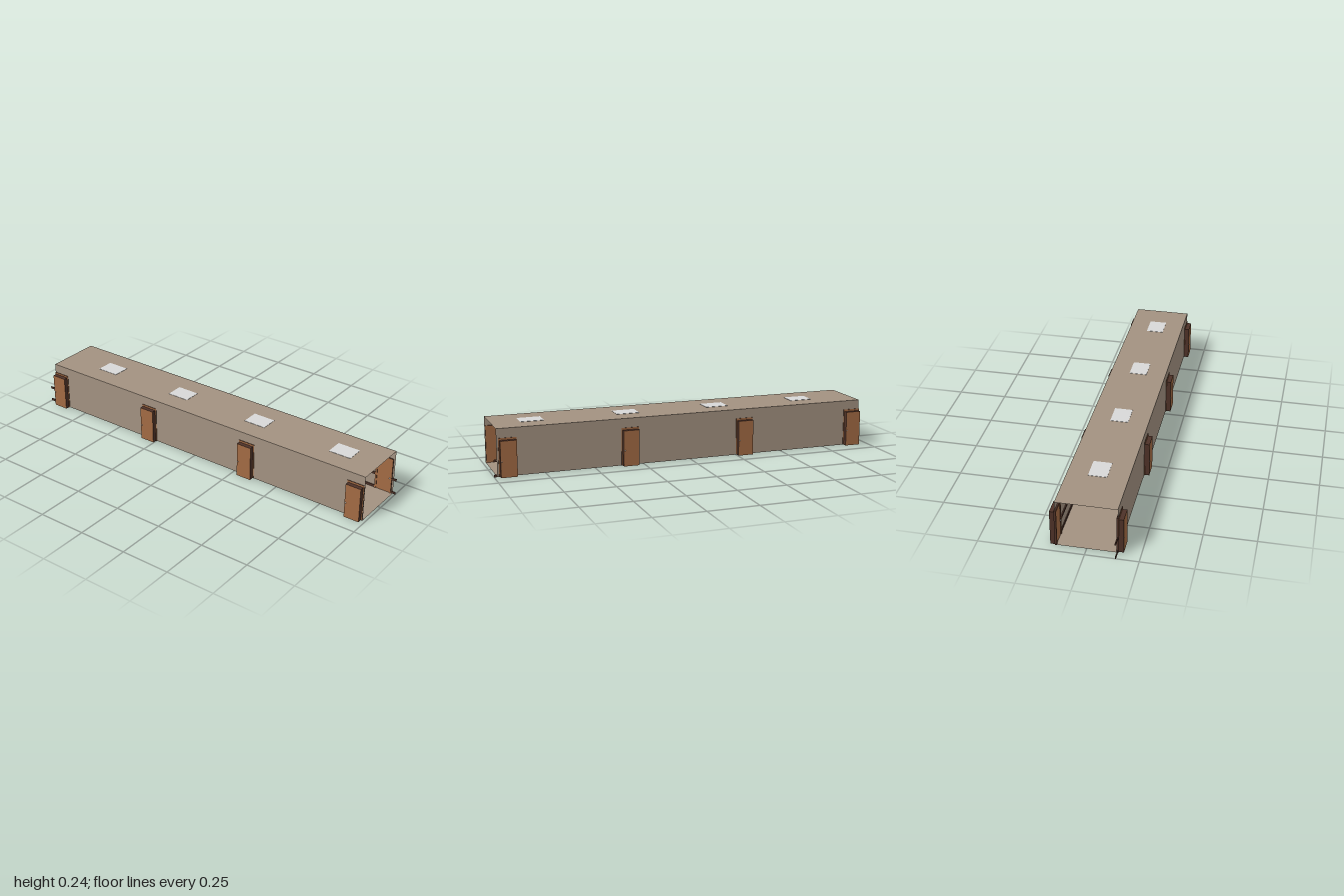
import * as THREE from 'three';

export function createModel() {
  const group = new THREE.Group();
  const mat = (name, color, side = THREE.FrontSide) => {
    const m = new THREE.MeshStandardMaterial({ color, side });
    m.name = name;
    return m;
  };
  const plaster = mat('taupe plaster', 0xa39281, THREE.DoubleSide);
  const wood = mat('warm wood', 0xa36b44);
  const dark = mat('dark wood', 0x4e3228);
  const light = mat('light panel', 0xd8d8d8);
  const metal = mat('pale metal', 0xe6e4e0);

  const X0 = -0.955, X1 = 0.985, H = 0.237, Z = 0.145;
  const length = X1 - X0, midX = (X0 + X1) / 2;

  const add = (name, geometry, material, x, y, z, parent = group) => {
    const mesh = new THREE.Mesh(geometry, material);
    mesh.name = name;
    mesh.position.set(x, y, z);
    parent.add(mesh);
    return mesh;
  };
  const box = (name, w, h, d, material, x, y, z, parent) =>
    add(name, new THREE.BoxGeometry(w, h, d), material, x, y, z, parent);

  // Corridor shell, open at both ends
  add('floor', new THREE.PlaneGeometry(length, 2 * Z), plaster, midX, 0, 0).rotation.x = -Math.PI / 2;
  add('ceiling', new THREE.PlaneGeometry(length, 2 * Z), plaster, midX, H, 0).rotation.x = -Math.PI / 2;
  for (const s of [1, -1]) {
    const wall = add(s > 0 ? 'frontWall' : 'backWall', new THREE.PlaneGeometry(length, H), plaster, midX, H / 2, s * Z);
    if (s < 0) wall.rotation.y = Math.PI;
  }

  // Ceiling lights: thin panels in a wooden rim
  for (const x of [-0.664, -0.184, 0.296, 0.785]) {
    box('ceilingLight', 0.118, 0.0026, 0.09, light, x, H, 0);
    box('lightRim', 0.122, 0.0016, 0.094, wood, x, H - 0.001, 0);
  }

  // Doors: wooden frame in the wall, projecting leaf with dark edges, and knobs
  const frameShape = new THREE.Shape([[-0.045, 0], [-0.045, 0.19], [0.045, 0.19], [0.045, 0], [0.036, 0],
    [0.036, 0.179], [-0.036, 0.179], [-0.036, 0]].map(([x, y]) => new THREE.Vector2(x, y)));
  const frameGeometry = new THREE.ExtrudeGeometry(frameShape, { depth: 0.01, bevelEnabled: false });
  const leafMaterials = [dark, dark, dark, dark, wood, wood];
  const knobGeometry = new THREE.SphereGeometry(0.0035, 10, 8);
  const doorX = { 1: [-0.909, -0.293, 0.321, 0.937], '-1': [-0.912, -0.295, 0.319, 0.931] };

  for (const s of [1, -1]) {
    for (const x of doorX[s]) {
      const door = new THREE.Group();
      door.name = 'door';
      door.position.x = x;
      if (s < 0) door.rotation.y = Math.PI;
      group.add(door);
      add('doorFrame', frameGeometry, [wood, dark], 0, 0, 0.138, door);
      box('doorLeaf', 0.08, 0.18, 0.029, leafMaterials, 0, 0.09, 0.1555, door);
      for (const z of [0.1685, 0.14]) add('doorKnob', knobGeometry, metal, -0.034, 0.08, z, door);
    }

    // Handrail and skirting run between doors and past one end of each wall
    const stops = doorX[s];
    const runs = stops.slice(1).map((x, i) => [stops[i] + 0.045, x - 0.045]);
    runs.push(s > 0 ? [-1, -0.954] : [0.976, 1]);
    for (const [a, b] of runs) {
      const mid = (a + b) / 2;
      box('handrail', b - a, 0.011, 0.0055, dark, mid, 0.08, s * 0.142);
      box('skirting', b - a, 0.012, 0.004, dark, mid, 0.006, s * 0.1428);
    }
  }
  return group;
}
